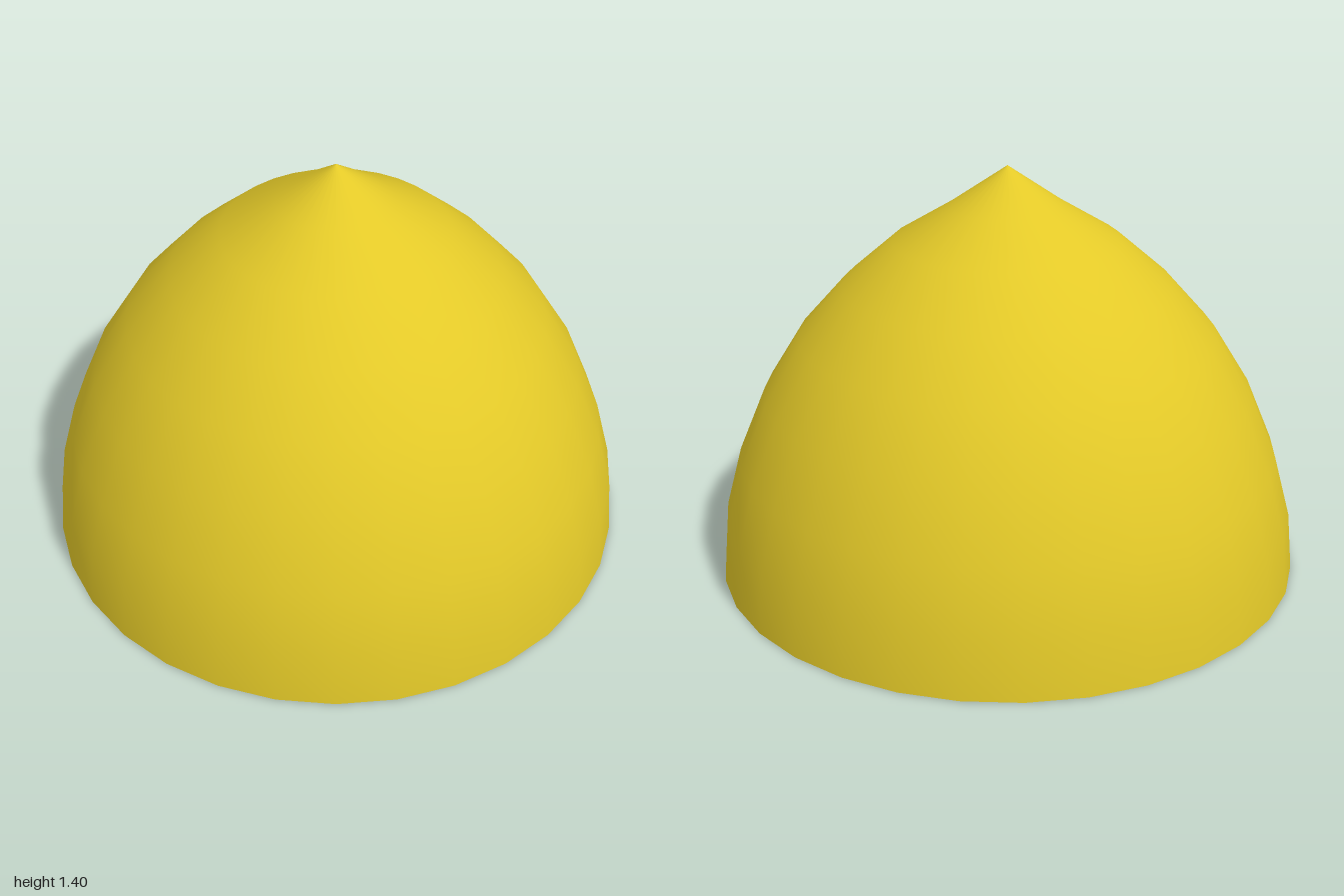
import * as THREE from 'three';

const mat = (name, color) => new THREE.MeshStandardMaterial({ name, color });

// Flat patch facing down at height y; outline is a list of a, b pairs on a
// diagonal frame of the cut face.
function cutPatch(name, outline, y, material) {
  const points = [];
  for (let i = 0; i < outline.length; i += 2) {
    const a = outline[i], b = outline[i + 1];
    points.push(new THREE.Vector2((b - a) * Math.SQRT1_2, (-a - b) * Math.SQRT1_2));
  }
  const geometry = new THREE.ShapeGeometry(new THREE.Shape(points));
  geometry.rotateX(Math.PI / 2);
  const mesh = new THREE.Mesh(geometry, material);
  mesh.name = name;
  mesh.position.y = y;
  return mesh;
}

export function createModel() {
  const group = new THREE.Group();
  group.name = 'halfLemon';
  const peelYellow = mat('peelYellow', 0xe3c928);
  const fleshYellow = mat('fleshYellow', 0xe3c928);
  const pithWhite = mat('pithWhite', 0xe6e2c6);
  const coreBrown = mat('coreBrown', 0x84380f);

  // Peel: a dome rising to a pointed tip
  const heights = [0, 0.2, 0.41, 0.63, 0.83, 1.0, 1.15, 1.265, 1.4];
  const profile = heights.map((y, i) =>
    new THREE.Vector2(i === 8 ? 0 : Math.cos((i * Math.PI) / 16), y));
  const peel = new THREE.Mesh(new THREE.LatheGeometry(profile, 32), peelYellow);
  peel.name = 'peel';
  group.add(peel);

  // Pith: the pale disc of the cut face
  const pith = new THREE.Mesh(new THREE.CircleGeometry(0.999, 32).rotateX(Math.PI / 2), pithWhite);
  pith.name = 'pith';
  pith.position.y = 0.006;
  group.add(pith);

  // Flesh: scalloped outline of the segments
  group.add(cutPatch('flesh', [
    0.96, 0.11, 0.94, 0.30, 0.82, 0.38, 0.80, 0.53, 0.69, 0.67, 0.53, 0.80,
    0.40, 0.83, 0.29, 0.80, 0.17, 0.92, 0, 0.96, -0.19, 0.93, -0.41, 0.80,
    -0.55, 0.75, -0.67, 0.63, -0.67, 0.49, -0.81, 0.38, -0.86, 0.24, -0.80, 0.07,
    -0.88, -0.07, -0.89, -0.20, -0.81, -0.33, -0.73, -0.39, -0.73, -0.53, -0.68, -0.66,
    -0.55, -0.74, -0.32, -0.76, -0.19, -0.86, 0, -0.89, 0.17, -0.86, 0.26, -0.76,
    0.46, -0.76, 0.61, -0.67, 0.63, -0.47, 0.76, -0.39, 0.82, -0.30, 0.79, -0.18,
    0.90, -0.08,
  ], 0.004, fleshYellow));

  // Pale fibres around the core
  const fibres = [
    [-0.23, -0.04, -0.15, 0, -0.10, 0.04, -0.09, -0.06, -0.14, -0.12, -0.20, -0.08],
    [-0.05, 0.17, 0.0, 0.23, 0.05, 0.20, 0.08, 0.14, 0.0, 0.12],
    [0.10, 0.16, 0.17, 0.18, 0.19, 0.10, 0.12, 0.08],
    [0.13, 0.0, 0.17, 0.03, 0.19, -0.05, 0.15, -0.08],
    [-0.11, -0.20, -0.06, -0.16, -0.04, -0.23, -0.09, -0.25],
    [0.05, -0.16, 0.08, -0.14, 0.09, -0.21, 0.06, -0.23],
    [-0.52, -0.22, -0.50, -0.20, -0.48, -0.23, -0.50, -0.25],
  ];
  fibres.forEach((f, i) => group.add(cutPatch(`fibre${i + 1}`, f, 0.002, pithWhite)));

  // Dark core and a small speck beside it
  group.add(cutPatch('core', [
    -0.13, -0.01, -0.08, 0.12, -0.01, 0.17, 0.08, 0.16, 0.11, 0.07,
    0.15, -0.01, 0.04, -0.05, -0.03, -0.10, -0.10, -0.07,
  ], 0, coreBrown));
  group.add(cutPatch('coreSpeck', [-0.20, -0.10, -0.17, -0.10, -0.17, -0.16], 0, coreBrown));

  return group;
}
